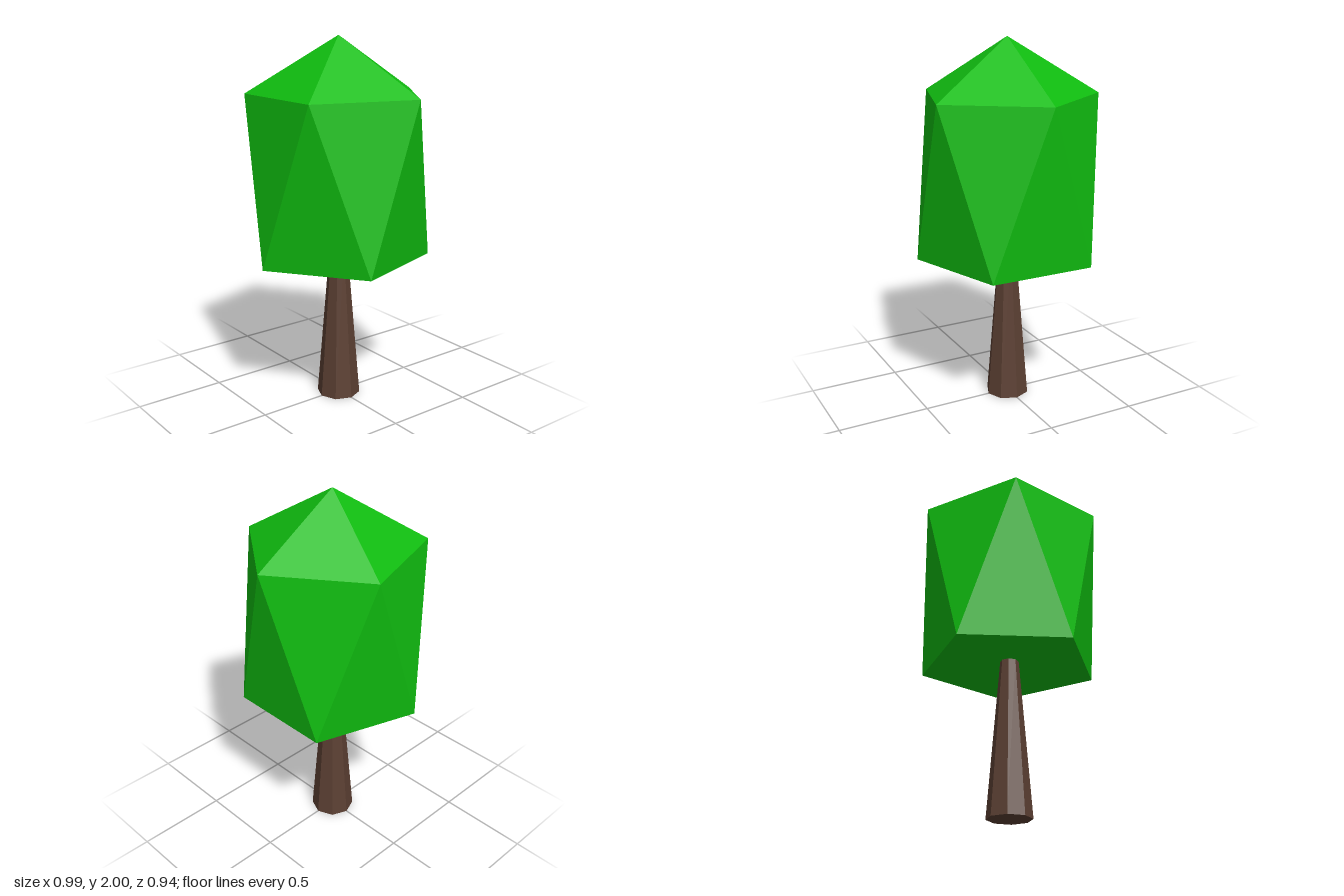
import * as THREE from 'three';

const SIDES = 5;
const RADIUS = 0.493;

// Canopy: two staggered five-point rings, a pointed crown and a hollow underside
function canopyGeometry() {
  const points = [];
  const ring = (y, offset) => {
    for (let i = 0; i < SIDES; i++) {
      const a = ((i + offset) / SIDES) * Math.PI * 2;
      points.push(Math.cos(a) * RADIUS, y, Math.sin(a) * RADIUS);
    }
  };
  ring(1.7, 0);
  ring(0.82, 0.5);
  points.push(0, 2, 0, 0, 0.97, 0);
  const crown = SIDES * 2;
  const hollow = crown + 1;

  const faces = [];
  for (let i = 0; i < SIDES; i++) {
    const j = (i + 1) % SIDES;
    const [t0, t1, b0, b1] = [i, j, SIDES + i, SIDES + j];
    faces.push(crown, t1, t0, t0, t1, b0, b0, t1, b1, hollow, b0, b1);
  }

  const indexed = new THREE.BufferGeometry();
  indexed.setAttribute('position', new THREE.Float32BufferAttribute(points, 3));
  indexed.setIndex(faces);
  const geometry = indexed.toNonIndexed();
  geometry.computeVertexNormals();
  return geometry;
}

export function createModel() {
  const leafGreen = new THREE.MeshStandardMaterial({ color: 0x10bd10, flatShading: true });
  leafGreen.name = 'leafGreen';
  const barkBrown = new THREE.MeshStandardMaterial({ color: 0x5c4033, flatShading: true });
  barkBrown.name = 'barkBrown';

  const tree = new THREE.Group();
  tree.name = 'tree';

  const canopy = new THREE.Mesh(canopyGeometry(), leafGreen);
  canopy.name = 'canopy';

  // Trunk: tapered octagon ending just inside the hollow
  const height = 0.85;
  const trunk = new THREE.Mesh(new THREE.CylinderGeometry(0.05, 0.12, height, 8), barkBrown);
  trunk.name = 'trunk';
  trunk.position.y = height / 2;

  tree.add(canopy, trunk);
  return tree;
}
